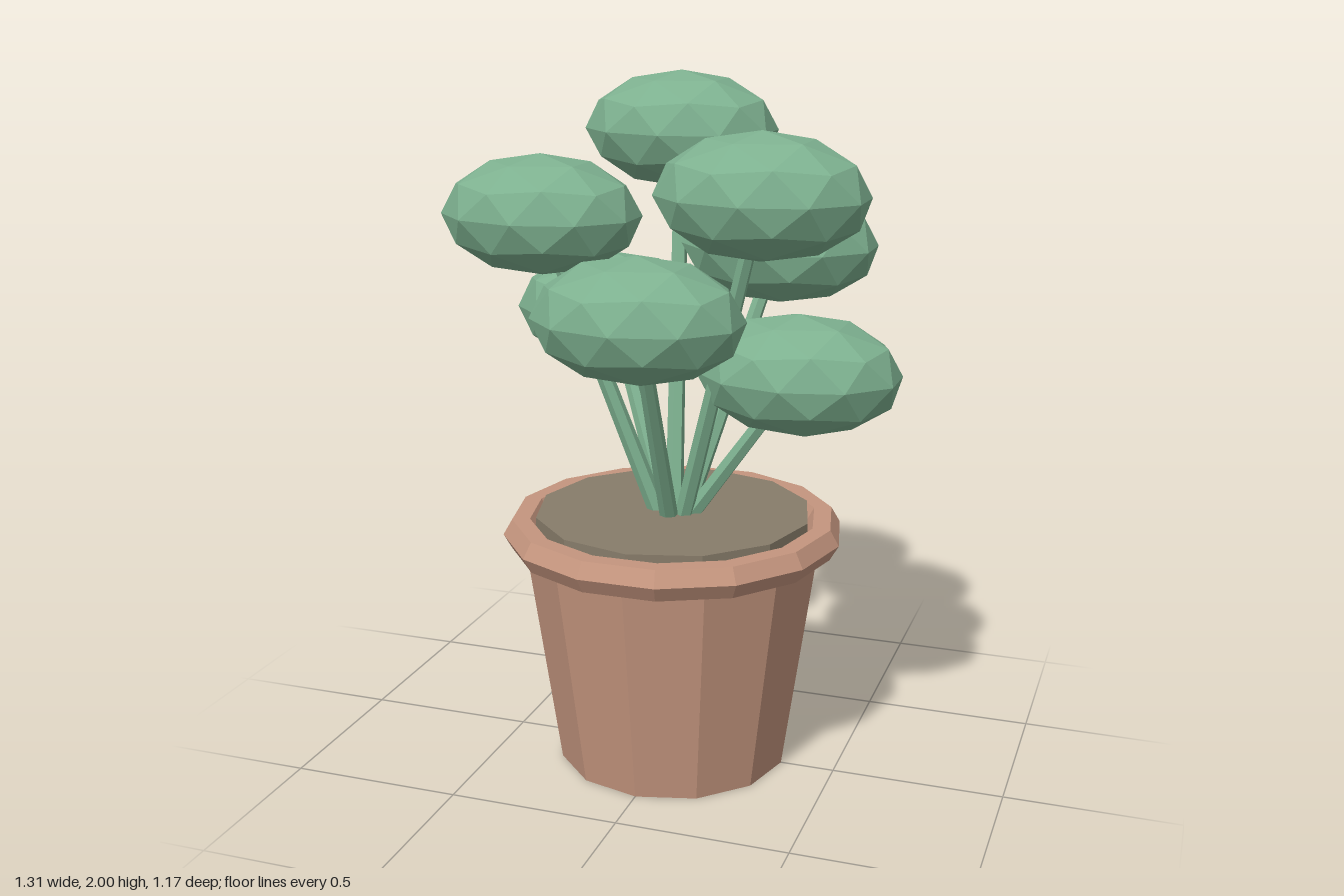
import * as THREE from 'three';

const mat = (name, color) => {
  const m = new THREE.MeshStandardMaterial({ color, flatShading: true });
  m.name = name;
  return m;
};

export function createModel() {
  const plant = new THREE.Group();
  plant.name = 'pottedPlant';
  const clay = mat('terracotta', 0xc4957e);
  const earth = mat('soil', 0x877c6a);
  const green = mat('leafGreen', 0x7db08f);

  const add = (name, geometry, material, parent = plant) => {
    const mesh = new THREE.Mesh(geometry, material);
    mesh.name = name;
    parent.add(mesh);
    return mesh;
  };

  // Tapered pot with a faceted rim and a disc of soil
  add('pot', new THREE.CylinderGeometry(0.44, 0.34, 0.7, 12), clay).position.y = 0.35;
  const rim = add('rim', new THREE.TorusGeometry(0.446, 0.052, 6, 14), clay);
  rim.rotation.x = Math.PI / 2;
  rim.position.y = 0.705;
  add('soil', new THREE.CylinderGeometry(0.405, 0.405, 0.08, 12), earth).position.y = 0.723;

  // Flattened low-poly crown with one vertex pointing straight up
  const crownGeometry = new THREE.IcosahedronGeometry(1, 1);
  crownGeometry.rotateZ(Math.atan(2 / (1 + Math.sqrt(5))));
  crownGeometry.scale(0.295, 0.172, 0.22);

  // Crown centres; each stem fans out from the middle of the soil
  const crowns = [
    [-0.10, 1.828, -0.367],
    [-0.375, 1.62, 0.06],
    [0.31, 1.72, 0.195],
    [0.025, 1.405, 0.368],
    [0.37, 1.20, 0],
    [0.225, 1.51, -0.303],
    [-0.28, 1.297, -0.248],
  ];
  const up = new THREE.Vector3(0, 1, 0);
  for (const c of crowns) {
    const branch = new THREE.Group();
    branch.name = 'branch';
    plant.add(branch);
    const top = new THREE.Vector3(...c);
    const base = new THREE.Vector3(c[0] * 0.1, 0.73, c[2] * 0.1);
    const dir = top.clone().sub(base);
    const stem = add('stem', new THREE.CylinderGeometry(0.021, 0.027, dir.length(), 6), green, branch);
    stem.position.copy(base).add(top).multiplyScalar(0.5);
    stem.quaternion.setFromUnitVectors(up, dir.normalize());
    add('leafCrown', crownGeometry, green, branch).position.copy(top);
  }
  return plant;
}
